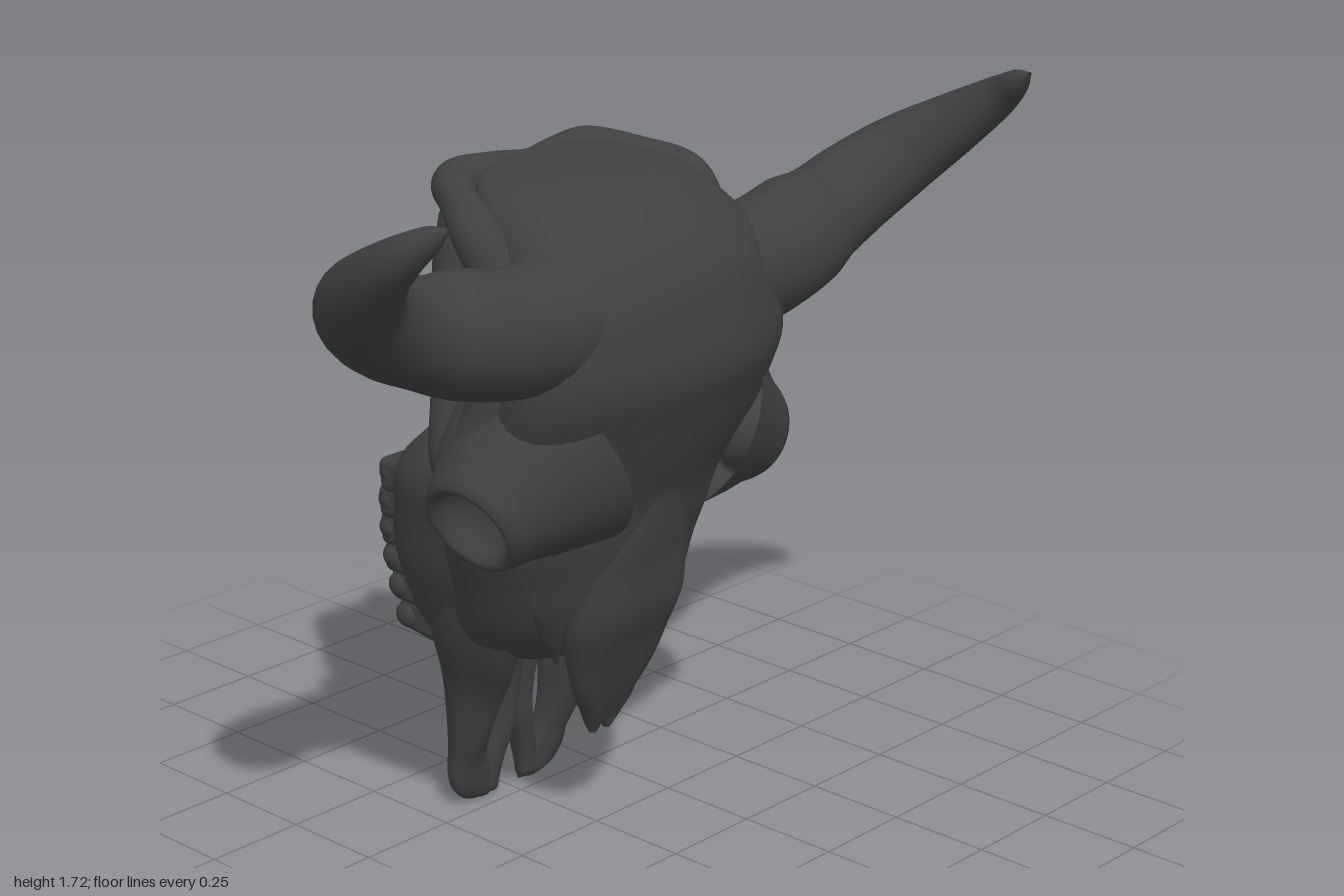
import * as THREE from 'three';
import { RoundedBoxGeometry } from 'three/addons/geometries/RoundedBoxGeometry.js';

const bone = new THREE.MeshStandardMaterial({ color: 0x404040, side: THREE.DoubleSide });

function mesh(name, geometry) {
  const m = new THREE.Mesh(geometry, bone);
  m.name = name;
  return m;
}

// Smooth interpolation of a list of rows at t in 0..1
function sample(rows, t) {
  const f = t * (rows.length - 1);
  const i = Math.min(Math.floor(f), rows.length - 2);
  const u = f - i;
  const at = (k) => rows[Math.max(0, Math.min(rows.length - 1, k))];
  return rows[i].map((_, c) => {
    const [a, b, d, e] = [at(i - 1)[c], at(i)[c], at(i + 1)[c], at(i + 2)[c]];
    return b + 0.5 * u * (d - a + u * (2 * a - 5 * b + 4 * d - e + u * (3 * (b - d) + e - a)));
  });
}

// Closed body from level sections, top to bottom: [y, centre x, half width, back z, front z]
function loft(name, rows, power = 2.3, rough = 0.004, sides = 36) {
  const steps = (rows.length - 1) * 5;
  const pos = [], index = [];
  const round = (v) => Math.sign(v) * Math.abs(v) ** (2 / power);
  for (let i = 0; i <= steps; i++) {
    const [y, cx, hx, zb, zf] = sample(rows, i / steps);
    for (let j = 0; j < sides; j++) {
      const a = (j / sides) * Math.PI * 2;
      const x = cx + hx * round(Math.cos(a));
      const z = (zb + zf) / 2 + ((zf - zb) / 2) * round(Math.sin(a));
      const bump = rough * Math.sin(19 * y + 3 * a) * Math.cos(13 * y - 2 * a);
      pos.push(x + bump * Math.cos(a), y, z + bump * Math.sin(a));
      if (i < steps) {
        const p = i * sides + j, q = i * sides + ((j + 1) % sides);
        index.push(p, q, p + sides, q, q + sides, p + sides);
      }
    }
  }
  // End caps
  for (const [row, start] of [[rows[0], 0], [rows[rows.length - 1], steps * sides]]) {
    const c = pos.length / 3;
    pos.push(row[1], row[0], (row[3] + row[4]) / 2);
    for (let j = 0; j < sides; j++) {
      const p = start + j, q = start + ((j + 1) % sides);
      if (start) index.push(c, p, q); else index.push(c, q, p);
    }
  }
  const g = new THREE.BufferGeometry();
  g.setAttribute('position', new THREE.Float32BufferAttribute(pos, 3));
  g.setIndex(index);
  g.computeVertexNormals();
  return mesh(name, g);
}

// Tube whose radius changes along a path: points are [x, y, z, radius]
function taperedTube(name, points, steps = 40, sides = 24) {
  const curve = new THREE.CatmullRomCurve3(points.map(([x, y, z]) => new THREE.Vector3(x, y, z)));
  const g = new THREE.TubeGeometry(curve, steps, 1, sides);
  const p = g.attributes.position, v = new THREE.Vector3();
  for (let i = 0; i <= steps; i++) {
    const centre = curve.getPointAt(i / steps);
    const r = sample(points, curve.getUtoTmapping(i / steps))[3];
    for (let j = 0; j <= sides; j++) {
      const k = i * (sides + 1) + j;
      v.fromBufferAttribute(p, k).sub(centre).multiplyScalar(r).add(centre);
      p.setXYZ(k, v.x, v.y, v.z);
    }
  }
  g.computeVertexNormals();
  return mesh(name, g);
}

function ball(name, x, y, z, rx, ry, rz) {
  const m = mesh(name, new THREE.SphereGeometry(1, 24, 16));
  m.position.set(x, y, z);
  m.scale.set(rx, ry, rz);
  return m;
}

// Parts that come in pairs, modelled on the +x side
function sideParts() {
  const g = new THREE.Group();
  g.add(taperedTube('horn', [
    [0.14, 1.32, 0.13, 0.15], [0.4, 1.325, 0.125, 0.142], [0.56, 1.355, 0.11, 0.137], [0.64, 1.375, 0.105, 0.12],
    [0.75, 1.42, 0.115, 0.112], [0.86, 1.49, 0.17, 0.098], [0.925, 1.57, 0.27, 0.074],
    [0.95, 1.65, 0.38, 0.048], [0.93, 1.7, 0.45, 0.027], [0.92, 1.722, 0.485, 0.004]], 70));

  // Eye socket: flared cup with a raised rim
  const cup = [[0.25, -0.06], [0.19, 0.06], [0.145, 0.14], [0.13, 0.18], [0.118, 0.203],
    [0.1, 0.2], [0.09, 0.17], [0.07, 0.12], [0, 0.1]];
  const orbit = mesh('eyeSocket', new THREE.LatheGeometry(cup.map(([r, y]) => new THREE.Vector2(r, y)), 36));
  orbit.position.set(0.28, 0.967, 0.045);
  orbit.quaternion.setFromUnitVectors(new THREE.Vector3(0, 1, 0), new THREE.Vector3(0.9, -0.42, 0.06).normalize());
  g.add(orbit);

  // Cheek arch and the bar behind the socket
  g.add(taperedTube('cheekArch', [
    [0.3, 0.89, -0.07, 0.06], [0.37, 0.98, -0.085, 0.05], [0.37, 1.1, -0.1, 0.038],
    [0.33, 1.25, -0.11, 0.045], [0.31, 1.4, -0.11, 0.065], [0.28, 1.51, -0.11, 0.07]]));
  g.add(taperedTube('socketBar', [
    [0.4, 1.0, 0.0, 0.06], [0.37, 1.12, 0.03, 0.055], [0.35, 1.25, 0.05, 0.065]], 16));

  // Back of the head
  g.add(taperedTube('crestEdge', [
    [0, 1.55, -0.2, 0.045], [0.11, 1.56, -0.22, 0.045], [0.21, 1.555, -0.225, 0.052],
    [0.285, 1.54, -0.14, 0.045], [0.335, 1.5, -0.04, 0.055], [0.33, 1.42, 0.02, 0.06]], 50));
  g.add(ball('neckJoint', 0.075, 1.37, -0.24, 0.055, 0.085, 0.055));
  g.add(taperedTube('earProcess', [
    [0.21, 1.5, -0.2, 0.05], [0.19, 1.38, -0.225, 0.055], [0.17, 1.27, -0.23, 0.04], [0.155, 1.22, -0.22, 0.01]], 20));

  // Thin walls of the throat opening
  g.add(loft('throatWall', [
    [1.24, 0.07, 0.02, -0.19, -0.08], [1.17, 0.08, 0.024, -0.23, -0.05], [1.07, 0.1, 0.03, -0.3, -0.02],
    [0.97, 0.125, 0.04, -0.36, 0], [0.86, 0.15, 0.05, -0.4, 0], [0.78, 0.16, 0.05, -0.4, 0]], 2.3, 0.004, 20));

  // Upper jaw ridge and its teeth
  g.add(loft('jawRidge', [
    [1.09, 0.15, 0.012, -0.2, -0.1], [0.96, 0.185, 0.06, -0.345, -0.05], [0.87, 0.2, 0.085, -0.42, 0],
    [0.76, 0.197, 0.088, -0.445, 0], [0.62, 0.185, 0.08, -0.445, -0.05], [0.5, 0.165, 0.062, -0.41, -0.1],
    [0.43, 0.15, 0.045, -0.36, -0.14], [0.36, 0.16, 0.015, -0.3, -0.2]], 2.2));
  for (let i = 0; i < 6; i++) {
    const t = i / 5;
    const tooth = mesh('cheekTooth', new RoundedBoxGeometry(0.075 + 0.025 * t, 0.086, 0.15, 3, 0.022));
    tooth.position.set(0.155 + 0.038 * t, 0.465 + 0.365 * t, -0.38 - 0.038 * Math.sin(Math.PI * (0.1 + 0.75 * t)));
    tooth.rotation.x = 0.12 - 0.25 * t;
    g.add(tooth);
    const { x, y, z } = tooth.position;
    g.add(ball('toothCusp', x + 0.022, y, z - 0.045, 0.03, 0.034, 0.038));
  }

  // Tip of the nose bone, outer and inner muzzle prongs
  g.add(loft('noseTip', [
    [0.42, 0.045, 0.05, 0.01, 0.08], [0.34, 0.038, 0.046, 0, 0.06], [0.29, 0.028, 0.03, -0.005, 0.038],
    [0.25, 0.022, 0.01, 0, 0.018]], 2.1, 0.002, 24));
  g.add(loft('outerMuzzleProng', [
    [0.7, 0.19, 0.04, -0.27, -0.04], [0.58, 0.197, 0.05, -0.34, -0.03], [0.45, 0.185, 0.043, -0.345, -0.08],
    [0.3, 0.155, 0.037, -0.335, -0.165], [0.15, 0.147, 0.042, -0.33, -0.24], [0.07, 0.118, 0.064, -0.335, -0.265],
    [0.025, 0.095, 0.055, -0.33, -0.28], [0.008, 0.08, 0.035, -0.32, -0.295]], 2.2));
  g.add(loft('innerMuzzleProng', [
    [0.48, 0.03, 0.04, -0.33, -0.2], [0.28, 0.024, 0.03, -0.325, -0.24], [0.2, 0.028, 0.03, -0.325, -0.25],
    [0.1, 0.055, 0.03, -0.325, -0.265], [0.02, 0.064, 0.025, -0.32, -0.28]], 2.4, 0.002, 20));
  g.add(taperedTube('nostrilEdge', [
    [0.19, 0.62, 0.035, 0.05], [0.17, 0.53, 0.02, 0.03], [0.145, 0.46, 0.012, 0.005]], 14, 12));
  return g;
}

export function createModel() {
  const skull = new THREE.Group();
  skull.name = 'hornedSkull';

  // Crown, forehead and face, turned in at the lower end to form the nasal opening
  skull.add(loft('face', [
    [1.6, 0, 0.1, -0.19, -0.06], [1.588, 0, 0.2, -0.23, 0.05], [1.555, 0, 0.28, -0.22, 0.15],
    [1.46, 0, 0.34, -0.1, 0.27], [1.33, 0, 0.39, -0.06, 0.322], [1.2, 0, 0.405, -0.05, 0.337],
    [1.08, 0, 0.4, -0.09, 0.3], [0.96, 0, 0.375, -0.2, 0.25], [0.85, 0, 0.35, -0.3, 0.207],
    [0.74, 0, 0.325, -0.33, 0.175], [0.61, 0, 0.285, -0.345, 0.14], [0.51, 0, 0.245, -0.345, 0.075],
    [0.455, 0, 0.21, -0.335, 0.0], [0.47, 0, 0.17, -0.31, 0.0], [0.6, 0, 0.12, -0.26, 0.03]], 2.08));

  // Nose bridge flowing out of the face
  skull.add(loft('noseBridge', [
    [0.98, 0, 0.1, 0, 0.245], [0.85, 0, 0.14, 0, 0.212], [0.72, 0, 0.168, 0, 0.187], [0.6, 0, 0.172, 0, 0.167],
    [0.5, 0, 0.157, -0.005, 0.13], [0.4, 0, 0.122, 0, 0.087], [0.33, 0, 0.082, 0, 0.058],
    [0.285, 0, 0.05, 0.005, 0.036]], 2.1));

  // Braincase and occiput
  skull.add(loft('braincase', [
    [1.575, 0, 0.18, -0.25, -0.05], [1.53, 0, 0.28, -0.265, 0.05], [1.44, 0, 0.31, -0.25, 0.12],
    [1.34, 0, 0.275, -0.235, 0.1], [1.25, 0, 0.23, -0.19, 0.1], [1.15, 0, 0.18, -0.14, 0.1],
    [1.05, 0, 0.16, -0.13, 0.1], [0.92, 0, 0.16, -0.16, 0.1]], 2.4, 0.016, 48));
  skull.add(taperedTube('skullBase', [
    [0, 1.34, -0.19, 0.07], [0, 1.22, -0.15, 0.05], [0, 1.08, -0.13, 0.03], [0, 0.9, -0.24, 0.02]], 24));
  skull.add(ball('occipitalKnob', 0, 1.53, -0.26, 0.055, 0.05, 0.065));
  skull.add(ball('palateEnd', 0, 0.89, -0.315, 0.05, 0.07, 0.055));

  // Rim of the spinal opening
  const rim = mesh('spinalOpening', new THREE.TorusGeometry(0.055, 0.024, 12, 28));
  rim.position.set(0, 1.435, -0.255);
  skull.add(rim);

  for (const side of [1, -1]) {
    const half = sideParts();
    half.name = side > 0 ? 'leftParts' : 'rightParts';
    half.scale.x = side;
    skull.add(half);
  }
  return skull;
}
